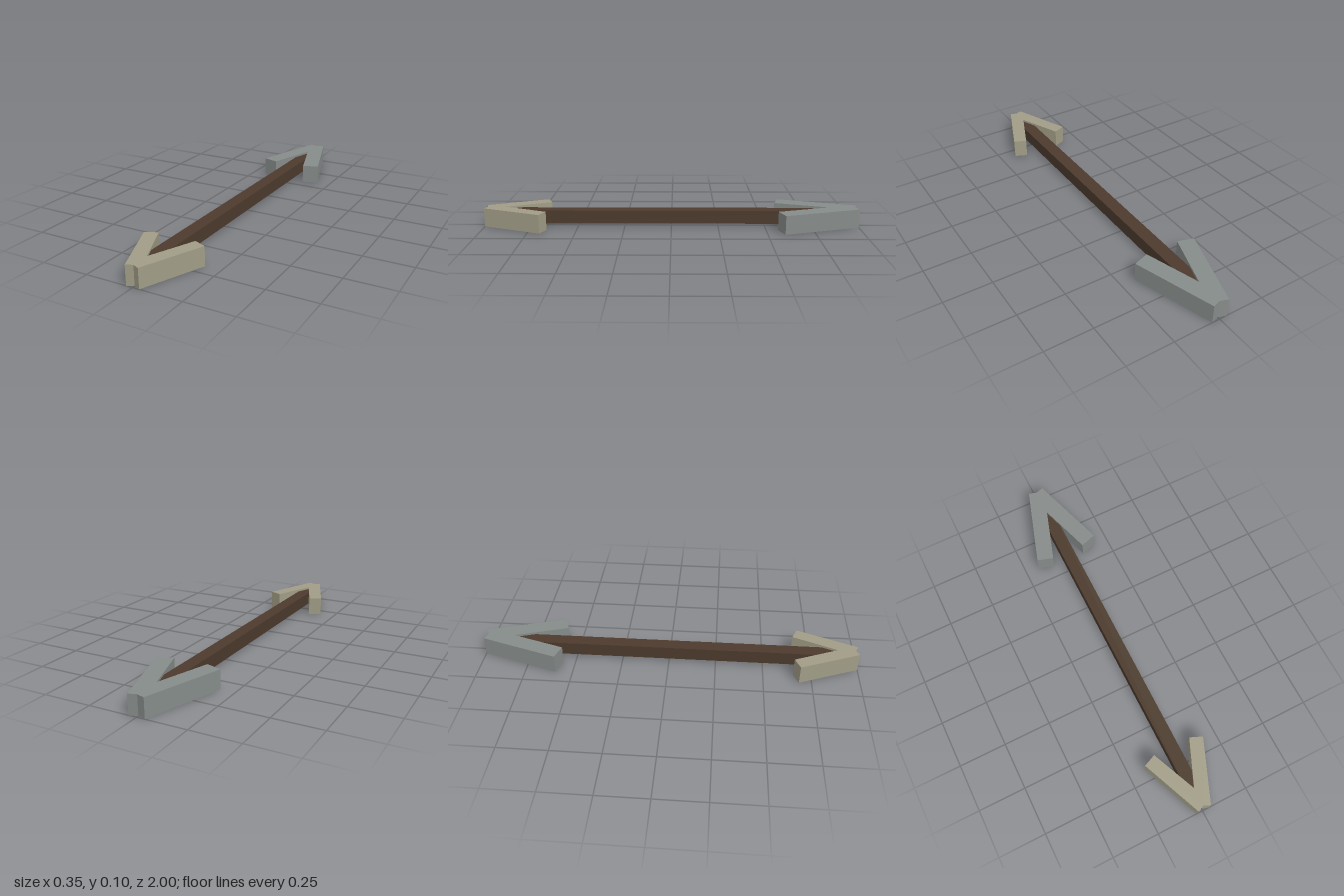
import * as THREE from 'three';

const paint = (name, color) => {
  const m = new THREE.MeshStandardMaterial({ color });
  m.name = name;
  return m;
};

// V-shaped head: the right half outline [x, z] is mirrored, then extruded upwards
function head(name, half, material) {
  const mirrored = half.slice(1, -1).reverse().map(([x, z]) => [-x, z]);
  const shape = new THREE.Shape([...half, ...mirrored].map(([x, z]) => new THREE.Vector2(x, z)));
  const geometry = new THREE.ExtrudeGeometry(shape, { depth: 0.1, bevelEnabled: false });
  geometry.rotateX(Math.PI / 2).translate(0, 0.1, 0);
  const mesh = new THREE.Mesh(geometry, material);
  mesh.name = name;
  return mesh;
}

export function createModel() {
  const group = new THREE.Group();
  group.name = 'doubleHeadedArrow';

  // Square shaft, its ends buried in both heads
  const shaft = new THREE.Mesh(new THREE.BoxGeometry(0.07, 0.07, 1.84), paint('dark wood', 0x4c3a2c));
  shaft.name = 'shaft';
  shaft.position.set(0, 0.053, 0);
  group.add(shaft);

  // Outlines run: tip notch, outer tip, outer end, inner end, inner corner
  group.add(head('frontHead',
    [[0, 0.985], [0.034, 1], [0.165, 0.685], [0.1, 0.658], [0, 0.89]],
    paint('pale stone', 0xa09c86)));
  group.add(head('backHead',
    [[0, -0.987], [0.042, -1], [0.174, -0.59], [0.09, -0.563], [0, -0.843]],
    paint('grey metal', 0x868c8a)));

  return group;
}
